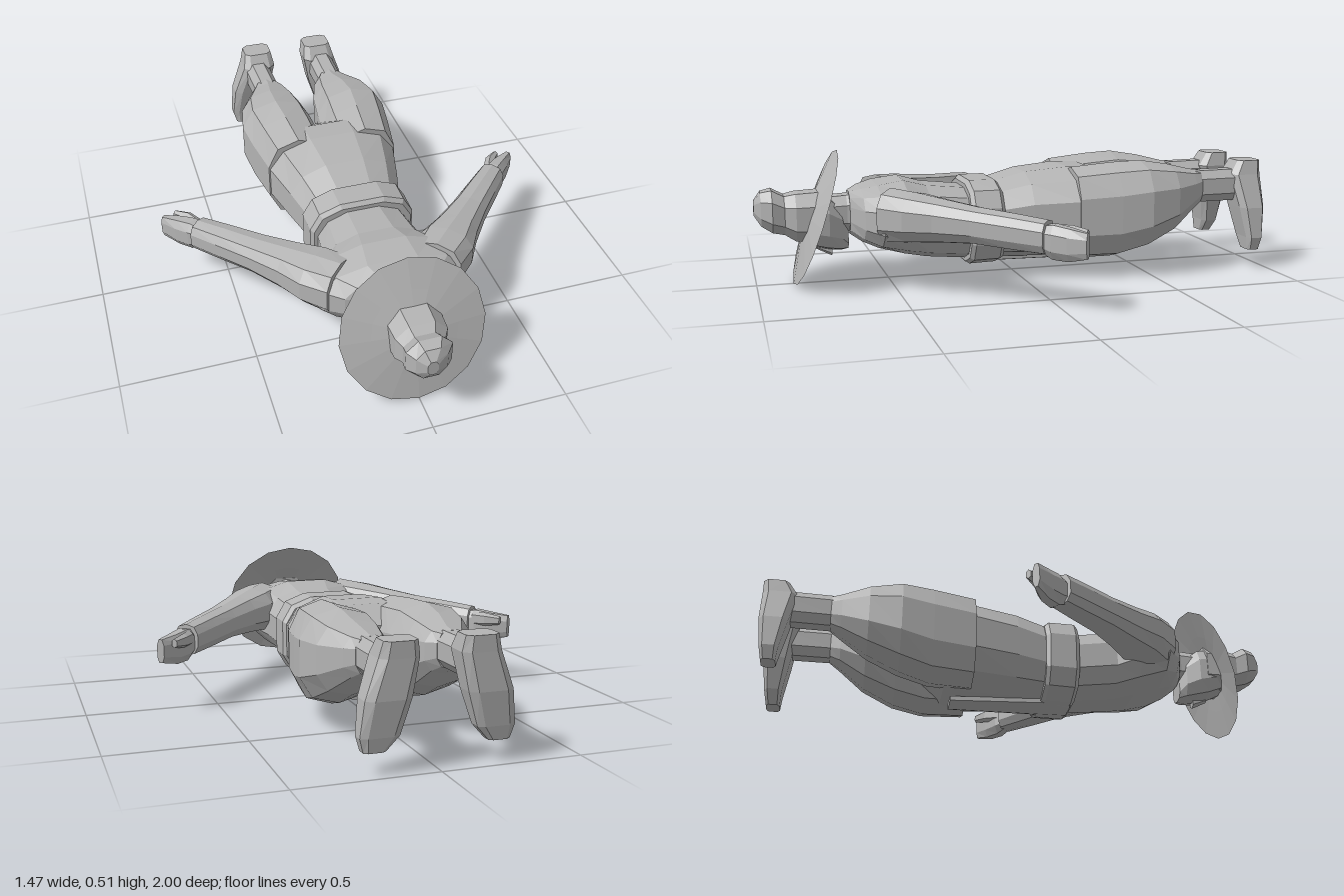
import * as THREE from 'three';

const grey = new THREE.MeshStandardMaterial({ color: 0xb4b4b4, flatShading: true, side: THREE.DoubleSide });
grey.name = 'plain grey';

// Closed loft along +z. Each section: [z, centre x, half width, y min, y max].
function loft(sections, sides = 10, power = 0.8) {
  const pos = [], idx = [];
  const soft = (v) => Math.sign(v) * Math.abs(v) ** power;
  for (const [z, cx, hw, y0, y1] of sections) {
    for (let j = 0; j < sides; j++) {
      const a = ((j + 0.5) / sides) * Math.PI * 2;
      pos.push(cx + hw * soft(Math.cos(a)), (y0 + y1) / 2 + ((y1 - y0) / 2) * soft(Math.sin(a)), z);
    }
  }
  const last = sections.length - 1;
  for (let i = 0; i < last; i++) {
    for (let j = 0; j < sides; j++) {
      const a = i * sides + j, b = i * sides + ((j + 1) % sides);
      idx.push(a, b, b + sides, a, b + sides, a + sides);
    }
  }
  for (let j = 1; j < sides - 1; j++) {
    idx.push(0, j + 1, j);
    idx.push(last * sides, last * sides + j, last * sides + j + 1);
  }
  const g = new THREE.BufferGeometry();
  g.setAttribute('position', new THREE.Float32BufferAttribute(pos, 3));
  g.setIndex(idx);
  g.computeVertexNormals();
  return g;
}

export function createModel() {
  const model = new THREE.Group();
  model.name = 'lyingFigure';
  const add = (name, geometry, parent = model) => {
    const m = new THREE.Mesh(geometry, grey);
    m.name = name;
    parent.add(m);
    return m;
  };

  // Upper body, lying face down with the head towards +z
  add('torso', loft([
    [0.06, 0, 0.185, 0.085, 0.37], [0.21, 0, 0.185, 0.075, 0.36], [0.36, 0, 0.2, 0.09, 0.375],
    [0.45, 0, 0.245, 0.11, 0.4], [0.55, 0, 0.275, 0.14, 0.385], [0.61, 0, 0.2, 0.165, 0.37],
    [0.65, 0, 0.08, 0.19, 0.355],
  ], 12));
  add('neck', loft([[0.6, 0, 0.09, 0.19, 0.36], [0.66, 0, 0.072, 0.2, 0.345], [0.74, 0, 0.07, 0.2, 0.34]], 8));
  add('belt', loft([
    [0.08, 0, 0.2, 0.065, 0.375], [0.095, 0, 0.212, 0.058, 0.39],
    [0.195, 0, 0.21, 0.055, 0.39], [0.21, 0, 0.198, 0.065, 0.375],
  ], 12, 0.65));
  add('sashEnd', loft([[-0.27, 0, 0.05, 0.048, 0.075], [0.09, 0, 0.065, 0.055, 0.09], [0.2, 0, 0.06, 0.055, 0.09]], 8, 0.5));

  // Head and face
  add('head', loft([
    [0.655, 0, 0.045, 0.13, 0.22], [0.68, 0, 0.075, 0.125, 0.31], [0.73, 0, 0.098, 0.13, 0.35],
    [0.77, 0, 0.1, 0.14, 0.355], [0.83, 0, 0.085, 0.17, 0.34],
  ], 10));
  add('nose', loft([[0.715, 0, 0.022, 0.105, 0.16], [0.775, 0, 0.01, 0.135, 0.17]], 6));

  // Hat: shallow conical brim and pinched crown
  const brim = add('hatBrim', new THREE.LatheGeometry([
    new THREE.Vector2(0.268, -0.008), new THREE.Vector2(0.16, 0.008), new THREE.Vector2(0.06, 0.024),
  ], 16));
  brim.position.set(0, 0.26, 0.782);
  brim.rotation.x = 1.234;
  add('hatCrown', loft([
    [0.76, 0, 0.105, 0.165, 0.365], [0.85, 0, 0.1, 0.17, 0.36], [0.89, -0.005, 0.08, 0.195, 0.35],
    [0.935, -0.005, 0.088, 0.205, 0.375], [0.975, -0.01, 0.06, 0.23, 0.365], [1, -0.015, 0.02, 0.27, 0.33],
  ], 8));

  // Trouser seat
  add('trouserSeat', loft([
    [-0.4, 0, 0.17, 0.16, 0.36], [-0.3, 0, 0.275, 0.085, 0.425], [-0.2, 0, 0.27, 0.068, 0.43],
    [-0.03, 0, 0.228, 0.07, 0.415], [0.1, 0, 0.192, 0.075, 0.38],
  ], 12));

  for (const s of [1, -1]) {
    const side = s > 0 ? 'left' : 'right';

    // Baggy trouser leg, ankle and boot
    add(side + 'TrouserLeg', loft([
      [-0.74, s * 0.145, 0.055, 0.265, 0.4], [-0.7, s * 0.145, 0.085, 0.24, 0.405],
      [-0.6, s * 0.16, 0.132, 0.165, 0.43], [-0.48, s * 0.164, 0.153, 0.105, 0.45],
      [-0.36, s * 0.153, 0.148, 0.07, 0.445], [-0.2, s * 0.14, 0.133, 0.068, 0.43],
    ], 10));
    add(side + 'Ankle', loft([[-0.92, s * 0.148, 0.056, 0.27, 0.405], [-0.72, s * 0.145, 0.055, 0.268, 0.402]], 8));
    const boot = loft([
      [0.08, s * 0.215, 0.04, 0.92, 0.975], [0.13, s * 0.2, 0.07, 0.915, 0.985],
      [0.25, s * 0.175, 0.082, 0.89, 1], [0.38, s * 0.14, 0.072, 0.865, 1], [0.435, s * 0.138, 0.06, 0.9, 1],
    ], 8, 0.5);
    boot.rotateX(-Math.PI / 2);
    add(side + 'Boot', boot);

    // Arm reaching out and back from the shoulder
    const arm = new THREE.Group();
    arm.name = side + 'Arm';
    arm.position.set(s * 0.22, 0, 0.47);
    arm.rotation.y = s * 2.406;
    model.add(arm);
    add(side + 'Sleeve', loft([
      [-0.06, 0, 0.1, 0.18, 0.385], [0.05, 0, 0.108, 0.19, 0.375], [0.16, 0, 0.085, 0.2, 0.36],
      [0.3, 0, 0.069, 0.208, 0.342], [0.45, 0, 0.06, 0.2, 0.33], [0.575, 0, 0.052, 0.195, 0.318],
    ], 10), arm);
    add(side + 'Hand', loft([
      [0.55, 0, 0.035, 0.205, 0.3], [0.6, 0, 0.042, 0.18, 0.308],
      [0.66, s * -0.005, 0.036, 0.178, 0.3], [0.73, s * -0.018, 0.016, 0.195, 0.29],
    ], 8), arm);
    add(side + 'Thumb', loft([
      [0.59, s * 0.02, 0.022, 0.24, 0.3], [0.65, s * 0.034, 0.02, 0.245, 0.3], [0.71, s * 0.03, 0.012, 0.255, 0.29],
    ], 6), arm);
  }
  return model;
}
